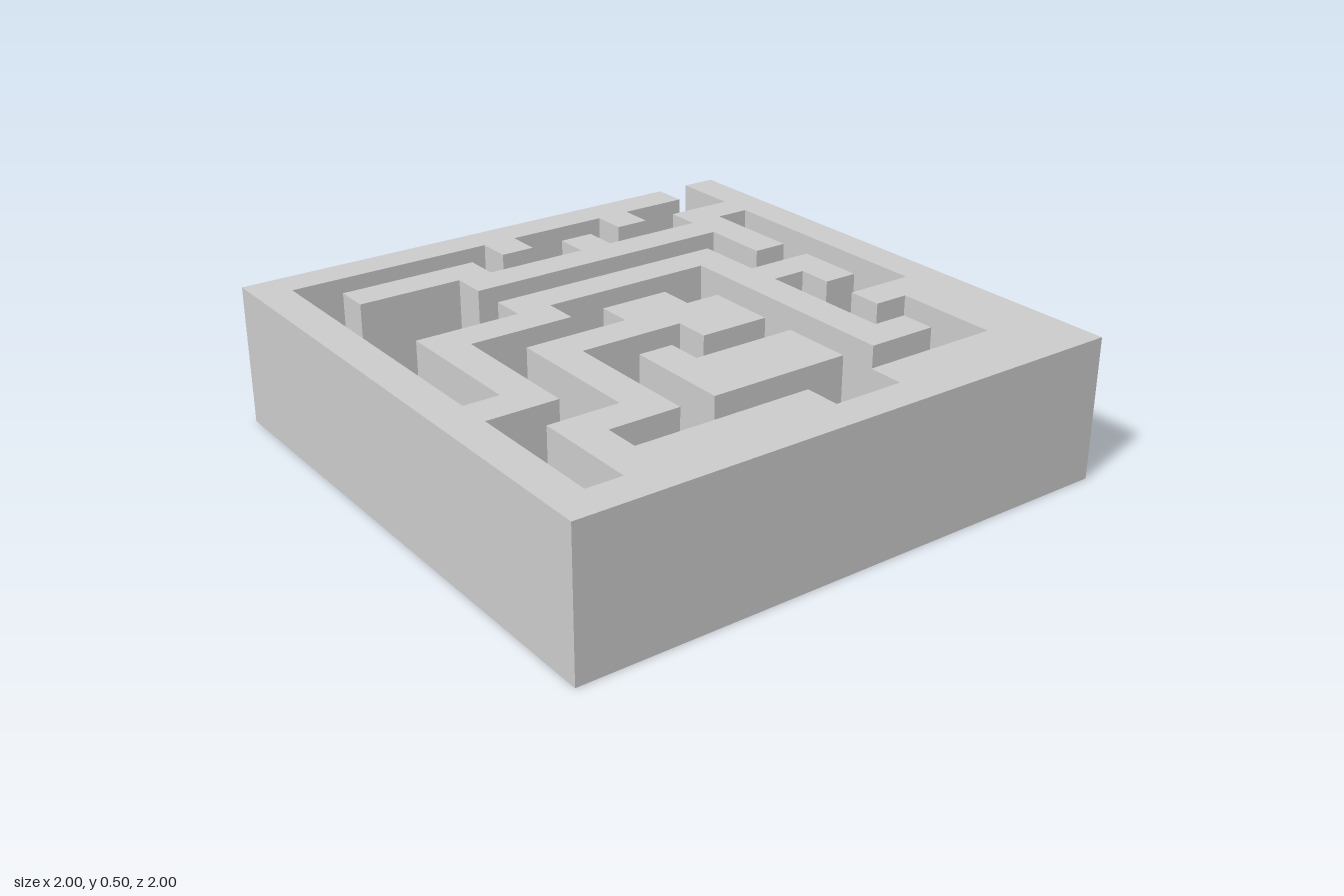
import * as THREE from 'three';
import { mergeGeometries } from 'three/addons/utils/BufferGeometryUtils.js';

// Floor plan: one character per cell, # is wall; rows run back to front, columns left to right
const PLAN = [
  '################',
  '..#.......######',
  '#.####.##.#...##',
  '#..#...#....#.##',
  '##.#.########.##',
  '#..#.#........##',
  '#.##.#..##.##..#',
  '#..#.#.###.##..#',
  '##.#.#.##..##.##',
  '#..#.#..#.###.##',
  '#.##.##.#.....##',
  '#.#...#.#####.##',
  '#.#...#.....#.##',
  '#.#...#####.####',
  '#.........#....#',
  '################',
];
const N = 16, CELL = 2 / N, HEIGHT = 0.5;

const wall = (col, row) => PLAN[row]?.[col] === '#';
const at = (index) => -1 + index * CELL;

// Consecutive indices that pass the test, as [start, end) spans
function spans(test) {
  const found = [];
  let start = -1;
  for (let i = 0; i <= N; i++) {
    const on = i < N && test(i);
    if (on && start < 0) start = i;
    if (!on && start >= 0) {
      found.push([start, i]);
      start = -1;
    }
  }
  return found;
}

// Upright panel turned to face outwards
function panel(length, angle, x, z) {
  return new THREE.PlaneGeometry(length, HEIGHT).rotateY(angle).translate(x, HEIGHT / 2, z);
}

export function createModel() {
  const group = new THREE.Group();
  group.name = 'maze';
  const material = new THREE.MeshStandardMaterial({
    color: 0xcccccc, flatShading: true, side: THREE.DoubleSide,
  });
  const tops = [], sides = [];

  for (let k = 0; k < N; k++) {
    // Flat wall tops, one strip per run of cells
    for (const [a, b] of spans((i) => wall(i, k))) {
      tops.push(new THREE.PlaneGeometry((b - a) * CELL, CELL)
        .rotateX(-Math.PI / 2)
        .translate((at(a) + at(b)) / 2, HEIGHT, at(k + 0.5)));
    }
    // Wall sides wherever a wall cell meets a passage or the outside
    for (const s of [1, -1]) {
      const edge = at(s > 0 ? k + 1 : k);
      for (const [a, b] of spans((i) => wall(i, k) && !wall(i, k + s))) {
        sides.push(panel((b - a) * CELL, s > 0 ? 0 : Math.PI, (at(a) + at(b)) / 2, edge));
      }
      for (const [a, b] of spans((i) => wall(k, i) && !wall(k + s, i))) {
        sides.push(panel((b - a) * CELL, s * Math.PI / 2, edge, (at(a) + at(b)) / 2));
      }
    }
  }

  // The shell is open underneath and the passages have no floor
  for (const [name, parts] of [['wallTops', tops], ['wallSides', sides]]) {
    const mesh = new THREE.Mesh(mergeGeometries(parts), material);
    mesh.name = name;
    group.add(mesh);
  }
  return group;
}
